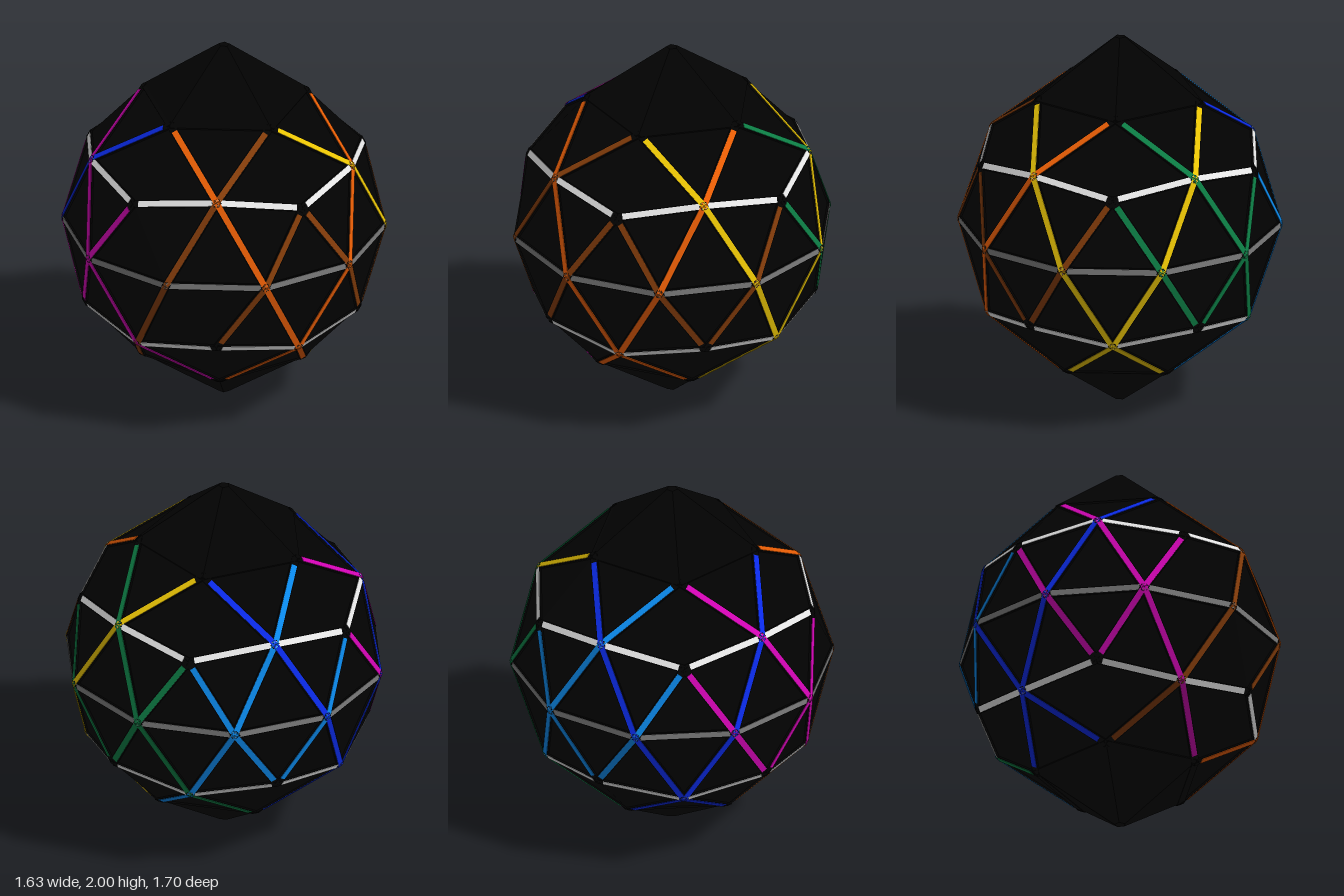
import * as THREE from 'three';
import { ConvexGeometry } from 'three/addons/geometries/ConvexGeometry.js';

const R = 0.84, CENTRE = 0.98;

const mat = (name, color, flatShading = false) => {
  const m = new THREE.MeshStandardMaterial({ color, flatShading });
  m.name = name;
  return m;
};

// Point on the sphere at a given height ratio and azimuth (degrees from +x towards +z)
function node(h, deg) {
  const r = R * Math.sqrt(1 - h * h), a = THREE.MathUtils.degToRad(deg);
  return new THREE.Vector3(r * Math.cos(a), CENTRE + R * h, r * Math.sin(a));
}

// Rings of the two-frequency geodesic sphere
const top = (d) => node(0.851, d);      // cap corners, 72k
const upperSix = (d) => node(0.526, d); // 36 + 72k
const upperFive = (d) => node(0.447, d); // 72k
const equator = (d) => node(0, d);      // 18 + 36k
const lowerSix = (d) => node(-0.526, d); // 72k
const lowerFive = (d) => node(-0.447, d); // 36 + 72k
const bottom = (d) => node(-0.851, d);  // cap corners, 36 + 72k

export function createModel() {
  const model = new THREE.Group();
  model.name = 'geodesicSphere';

  const black = mat('black', 0x020202, true);
  const white = mat('white', 0xf8f8f8);
  const grey = mat('grey', 0x7c7c7c);
  const orange = mat('orange', 0xfc6606);
  const brown = mat('brown', 0x843c0a);
  const yellow = mat('yellow', 0xecc604);
  const green = mat('green', 0x0c7c44);
  const blue = mat('blue', 0x0a2ae6);
  const lightBlue = mat('lightBlue', 0x0a88ea);
  const magenta = mat('magenta', 0xd004b2);

  // Box along one edge, lying flat on the sphere, its outer face raised above the edge
  const centre = new THREE.Vector3(0, CENTRE, 0);
  function bar(name, a, b, material, width, depth, raise, cutA = 0, cutB = 0) {
    const along = b.clone().sub(a).normalize();
    const p = a.clone().addScaledVector(along, cutA);
    const q = b.clone().addScaledVector(along, -cutB);
    const out = a.clone().add(b).multiplyScalar(0.5).sub(centre).normalize();
    const side = along.clone().cross(out);
    const mesh = new THREE.Mesh(new THREE.BoxGeometry(width, p.distanceTo(q), depth), material);
    mesh.name = name;
    mesh.quaternion.setFromRotationMatrix(new THREE.Matrix4().makeBasis(side, along, out));
    mesh.position.copy(p).add(q).multiplyScalar(0.5).addScaledVector(out, raise - depth / 2);
    model.add(mesh);
  }

  // Black frame bar with a thin coloured strip on its outer face
  function strut(name, a, b, material, lift, cutA, cutB) {
    bar('frameBar', a, b, black, 0.042, 0.03, 0.006);
    bar(name, a, b, material, 0.031, 0.003, 0.008 + lift, cutA, cutB);
  }

  // Faceted body
  const points = [];
  for (let k = 0; k < 5; k++) {
    const d = 72 * k;
    points.push(top(d), upperSix(d + 36), upperFive(d), equator(d + 18), equator(d + 54),
      lowerSix(d), lowerFive(d + 36), bottom(d + 36));
  }
  const body = new THREE.Mesh(new ConvexGeometry(points), black);
  body.name = 'body';
  model.add(body);

  // Pointed five-sided caps
  function cap(name, rTop, rBottom, y0, y1, start) {
    const m = new THREE.Mesh(
      new THREE.CylinderGeometry(rTop, rBottom, y1 - y0, 5, 1, false, start), black);
    m.name = name;
    m.position.y = (y0 + y1) / 2;
    model.add(m);
  }
  const quarter = Math.PI / 2, turn = Math.PI / 5;
  cap('topCap', 0.03, 0.46, 1.69, 2, quarter);
  cap('bottomCap', 0.455, 0.03, 0, 0.275, quarter + turn);

  // Horizontal rings, with plain bars around the caps
  for (let k = 0; k < 5; k++) {
    const d = 72 * k;
    for (const s of [-36, 36]) {
      strut('upperRing', upperSix(d + 36), upperFive(d + 36 + s), white, 0, 0, 0.03);
      strut('lowerRing', lowerSix(d), lowerFive(d + s), white, 0, 0, 0.03);
    }
    strut('equatorRing', equator(d + 18), equator(d + 54), grey, 0, 0, 0);
    strut('equatorRing', equator(d + 54), equator(d + 90), grey, 0, 0, 0);
    bar('topCapBar', top(d), top(d + 72), black, 0.042, 0.03, 0.006);
    bar('bottomCapBar', bottom(d + 36), bottom(d + 108), black, 0.042, 0.03, 0.006);
  }

  // Slanted arcs from cap to cap: lower crossing azimuth, direction, colour
  const arcs = [
    [0, 1, yellow], [0, -1, yellow],
    [72, 1, orange], [72, -1, orange],
    [144, 1, magenta], [144, -1, brown],
    [216, 1, blue], [216, -1, blue],
    [288, 1, green], [288, -1, lightBlue],
  ];
  for (const [d, s, material] of arcs) {
    const path = [top(d + 72 * s), upperSix(d + 36 * s), equator(d + 18 * s),
      lowerSix(d), bottom(d - 36 * s)];
    for (let i = 0; i < 4; i++) {
      strut('arc', path[i], path[i + 1], material, s > 0 ? 0.002 : 0.0015,
        i === 0 ? 0.045 : 0, i === 3 ? 0.045 : 0);
    }
  }

  // Short spokes from the equator up and down to the five-way points
  const spokes = [[18, brown], [54, brown], [90, brown], [162, magenta], [198, magenta],
    [234, lightBlue], [270, lightBlue], [306, green], [342, green]];
  for (const [d, material] of spokes) {
    const up = Math.round(d / 72) * 72;
    const down = Math.round((d - 36) / 72) * 72 + 36;
    strut('upperSpoke', equator(d), upperFive(up), material, 0.0008, 0, 0.04);
    strut('lowerSpoke', equator(d), lowerFive(down), material, 0.0008, 0, 0.04);
  }
  return model;
}
